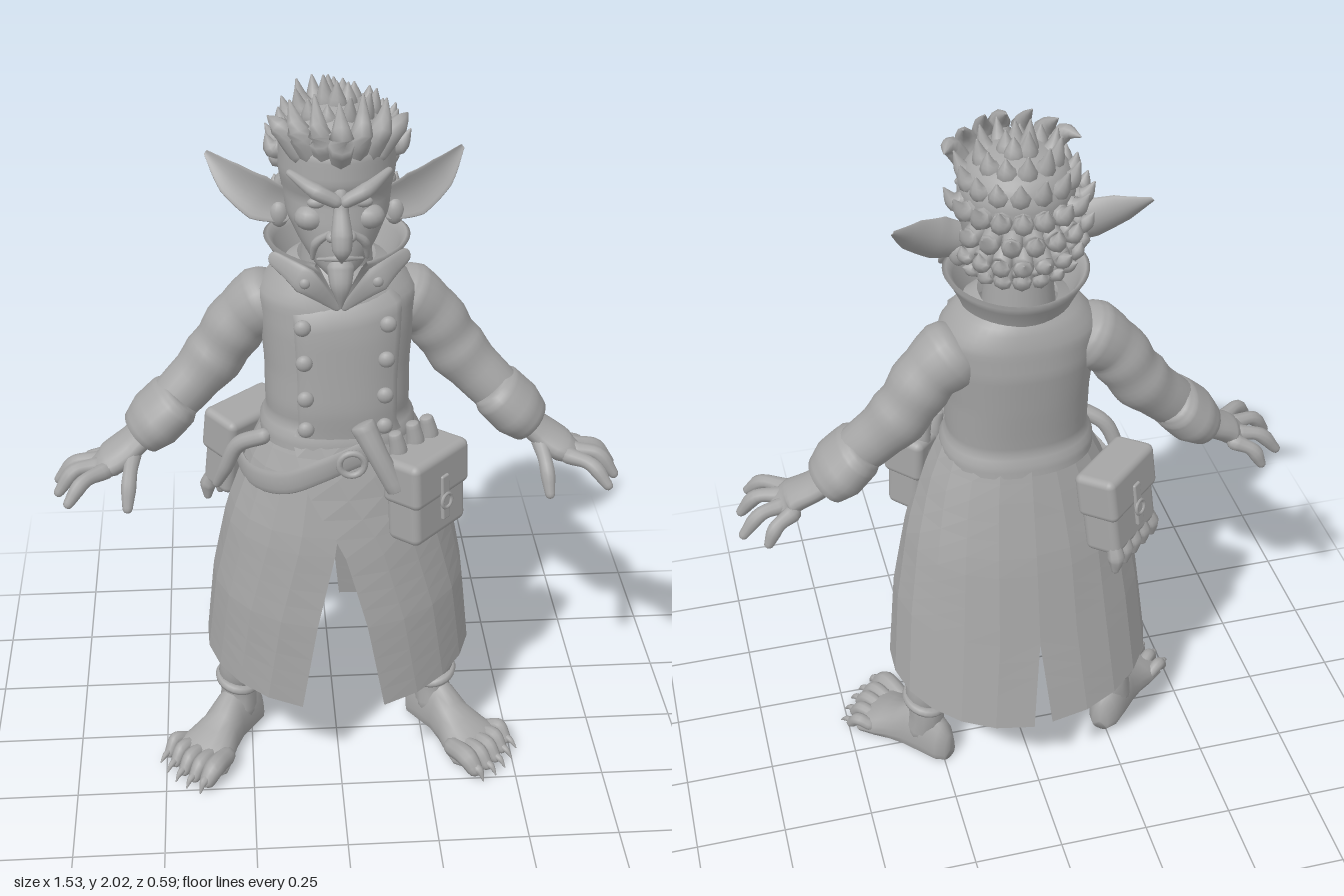
import * as THREE from 'three';
import { RoundedBoxGeometry } from 'three/addons/geometries/RoundedBoxGeometry.js';

const V = (x, y, z) => new THREE.Vector3(x, y, z);
const clay = new THREE.MeshStandardMaterial({ color: 0xa6a6a6, side: THREE.DoubleSide });
clay.name = 'clay grey';

function add(parent, name, geo, pos = [0, 0, 0]) {
  const m = new THREE.Mesh(geo, clay);
  m.name = name;
  m.position.set(...pos);
  parent.add(m);
  return m;
}

// surface through rows x cols points given by f(i, j)
function grid(rows, cols, f, closed = true) {
  const pos = [], idx = [];
  for (let i = 0; i < rows; i++) for (let j = 0; j < cols; j++) pos.push(...f(i, j));
  for (let i = 0; i < rows - 1; i++) for (let j = 0; j < (closed ? cols : cols - 1); j++) {
    const a = i * cols + j, b = i * cols + (j + 1) % cols;
    idx.push(a, b, a + cols, b, b + cols, a + cols);
  }
  const g = new THREE.BufferGeometry();
  g.setAttribute('position', new THREE.Float32BufferAttribute(pos, 3));
  g.setIndex(idx);
  g.computeVertexNormals();
  return g;
}

// linear look-up in rows [key, ...values] with rising keys
function look(table, k) {
  let i = 0;
  while (i < table.length - 2 && k > table[i + 1][0]) i++;
  const a = table[i], b = table[i + 1];
  const t = THREE.MathUtils.clamp((k - a[0]) / (b[0] - a[0]), 0, 1);
  return a.slice(1).map((v, n) => v + (b[n + 1] - v) * t);
}

// point on an oval body with rows [y, halfWidth, frontZ, backZ]; angle 0 = front
function onBody(table, y, a, off = 0, p = 1) {
  const [rx, zf, zb] = look(table, y);
  const pw = v => Math.sign(v) * Math.abs(v) ** p;
  return [pw(Math.sin(a)) * (rx + off), y, (zf + zb) / 2 + pw(Math.cos(a)) * ((zf - zb) / 2 + off)];
}

// limb along a curve with varying radius and rounded ends
function sweep(pts, radii, { n = 12, wide = 1, thin = 1, ref = V(0, 1, 0), curl = 0, dome = 1, per = 5 } = {}) {
  const curve = new THREE.CatmullRomCurve3(pts.map(p => V(...p)));
  const steps = per * (pts.length - 1), rings = [];
  const caps = [0, 0.5, 0.85, 1];
  caps.forEach(s => rings.push([0, s, -dome * Math.sqrt(1 - s * s)]));
  for (let i = 1; i < steps; i++) rings.push([i / steps, 1, 0]);
  caps.slice().reverse().forEach(s => rings.push([1, s, dome * Math.sqrt(1 - s * s)]));
  const table = radii.map((r, i) => [i / (radii.length - 1), r]);
  return grid(rings.length, n, (i, j) => {
    const [t, s, d] = rings[i], [r] = look(table, t);
    const T = curve.getTangent(t), c = curve.getPoint(t);
    const side = ref.clone().cross(T).normalize(), up = T.clone().cross(side);
    const a = j / n * Math.PI * 2, co = Math.cos(a);
    return c.addScaledVector(T, d * r).addScaledVector(side, co * r * s * wide)
      .addScaledVector(up, r * s * (Math.sin(a) * thin + curl * co * co)).toArray();
  });
}
const ball = (rx, ry, rz) => new THREE.SphereGeometry(1, 16, 10).scale(rx, ry, rz);

const TORSO = [[1.06, .205, .19, -.15], [1.1, .205, .185, -.145], [1.12, .188, .172, -.132], [1.17, .19, .178, -.137],
  [1.26, .19, .172, -.148], [1.38, .2, .165, -.16], [1.46, .205, .152, -.155], [1.51, .165, .135, -.14], [1.55, .1, .11, -.11]];
const SKIRT = [[.28, .37, .262, -.292], [.55, .345, .26, -.245], [.8, .3, .24, -.205], [1, .235, .205, -.16], [1.1, .19, .175, -.135]];
const HEAD = [[1.54, .03, .155, .06], [1.57, .068, .165, -.03], [1.62, .1, .165, -.08], [1.68, .13, .16, -.12], [1.74, .138, .15, -.14],
  [1.79, .147, .17, -.15], [1.86, .145, .165, -.15], [1.91, .12, .13, -.13], [1.945, .06, .07, -.07], [1.955, .001, .01, .008]];

function buildCoat(g) {
  add(g, 'coatBody', grid(30, 40, (i, j) => onBody(TORSO, 1.06 + i / 29 * .49, j / 40 * Math.PI * 2, 0, .88)));
  // raised double-breasted front panel
  add(g, 'coatFrontPanel', grid(14, 16, (i, j) => {
    const u = j / 15, y = 1.1 + i / 13 * (.34 + .06 * u);
    return onBody(TORSO, y, -.58 + u * 1.45, (j % 15 && i % 13) ? .012 : -.002, .88);
  }, false));
  for (const y of [1.13, 1.22, 1.32, 1.415]) for (const a of [-.4, .53])
    add(g, 'coatButton', ball(.022, .022, .016), onBody(TORSO, y, a, .018, .88));
  // skirt halves: the left one laps over the right, both open at front and back
  const edges = { 1: [[.28, .105], [.55, .06], [.8, 0], [.95, -.08], [1.1, -.12]], '-1': [[.28, .1], [.55, .06], [.8, .01], [1.1, 0]] };
  for (const s of [1, -1]) {
    const geo = grid(16, 11, (i, j) => {
      const t = i / 15, y = 1.1 - t * .82, [rx] = look(SKIRT, y);
      const a0 = Math.asin(look(edges[s], y)[0] / rx);
      const a1 = Math.PI - Math.asin(look([[.28, .022], [.55, 0], [1.1, 0]], y)[0] / rx);
      const a = a0 + (a1 - a0) * j / 10;
      const p = onBody(SKIRT, y, a, s > 0 ? .007 : 0, .93);
      return [p[0] * s, y + t * .075 * Math.sin(a) ** 2, p[2]];
    }, false).toNonIndexed();
    geo.computeVertexNormals();
    add(g, 'coatSkirt', geo);
  }
  // standing collar, open at the throat: outer wall, rolled rim, inner wall
  const wall = [[1.48, .135, .02], [1.53, .145, .16], [1.585, .172, .3], [1.608, .186, .36], [1.612, .176, .36], [1.59, .16, .32], [1.5, .125, .1]];
  add(g, 'collar', grid(wall.length, 40, (i, j) => {
    const [y, r, gap] = wall[i], a = gap + (2 * Math.PI - 2 * gap) * j / 39;
    return [Math.sin(a) * r, y - .015 * Math.cos(a) ** 2, .015 + Math.cos(a) * r * .99];
  }, false));
  for (const s of [1, -1]) {
    add(g, 'collarLapel', sweep([[s * .16, 1.59, .13], [s * .09, 1.555, .185], [s * .01, 1.47, .165]], [.02, .035, .01], { ref: V(0, 0, 1), thin: .25 }));
    add(g, 'collarButton', ball(.014, .014, .01), [s * .09, 1.55, .19]);
  }
}

function buildArm(g, s) {
  const P = a => a.map(([x, y, z]) => [x * s, y, z]);
  add(g, 'sleeve', sweep(P([[.16, 1.42, -.03], [.24, 1.36, -.035], [.325, 1.24, -.035], [.45, 1.11, -.005]]),
    [.085, .094, .088, .08, .084, .077, .082, .072, .07, .066], { n: 20, dome: .35, per: 9 }));
  add(g, 'cuff', sweep(P([[.415, 1.145, -.01], [.45, 1.11, -.005], [.52, 1.04, 0]]), [.06, .072, .074, .076, .062],
    { n: 24, wide: 1.38, dome: .08, per: 6 }));
  add(g, 'cuffButton', ball(.018, .018, .018), [s * .515, 1.11, .035]);
  add(g, 'palm', sweep(P([[.49, 1.065, 0], [.55, 1.015, .015], [.61, .975, .035], [.645, .955, .035]]), [.034, .035, .038, .026], { wide: 1.75, n: 16 }));
  const fingers = [[[.62, .96, -.02], [.665, .94, -.04], [.69, .895, -.048]], [[.64, .965, .015], [.7, .955, .005], [.75, .9, 0]],
    [[.64, .97, .055], [.7, .965, .07], [.745, .91, .085]], [[.62, .97, .085], [.675, .965, .13], [.715, .92, .162]],
    [[.545, 1, .05], [.555, .96, .115], [.562, .895, .155]]];
  fingers.forEach((f, i) => add(g, i < 4 ? 'finger' : 'thumb', sweep(P(f), [.024, .019, .021, .014], { n: 10 })));
}

function buildLeg(g, s) {
  const P = a => a.map(([x, y, z]) => [x * s, y, z]);
  add(g, 'trouserLeg', sweep(P([[.08, .82, -.01], [.15, .56, 0], [.235, .34, -.01], [.285, .2, -.02]]),
    [.11, .105, .1, .092, .084, .076, .06], { n: 18, ref: V(0, 0, 1), dome: .3 }));
  const hem = new THREE.TorusGeometry(.054, .014, 8, 24).rotateX(Math.PI / 2).scale(1, 1, 1.2);
  add(g, 'trouserHem', hem, [s * .285, .192, -.02]).rotation.z = s * .2;
  const foot = new THREE.Group();
  foot.name = 'foot';
  foot.position.set(s * .285, 0, -.03);
  foot.rotation.y = s * .68;
  g.add(foot);
  add(foot, 'ankle', sweep([[0, .21, .005], [0, .14, 0], [0, .08, .01]], [.05, .052, .055], { ref: V(0, 0, 1) }));
  // foot cross-sections: z, half width, height, sideways shift
  const S = [[-.085, .001, .06, 0], [-.083, .025, .09, 0], [-.06, .045, .125, 0], [-.01, .053, .17, 0], [.05, .056, .155, 0],
    [.1, .066, .115, -.004], [.15, .085, .088, -.008], [.2, .1, .066, -.012], [.225, .085, .045, -.014], [.228, .001, .03, -.014]];
  add(foot, 'footBody', grid(S.length, 20, (i, j) => {
    const [z, w, h, c] = S[i], a = j / 20 * Math.PI * 2, sn = Math.sin(a);
    return [s * (c + Math.cos(a) * w), i % 9 ? (sn > 0 ? h * (.28 + .72 * sn) : h * .28 * (1 - Math.abs(sn) ** .5)) : h / 2, z];
  }));
  [[-.095, .285, .028], [-.05, .29, .021], [-.008, .285, .02], [.036, .27, .019], [.078, .248, .018]].forEach(([x, z, r]) => {
    add(foot, 'toe', sweep([[s * x * .85, .038, .17], [s * x, .05, z - .045], [s * x, r, z - .015]], [r, r * 1.05, r * .85], { n: 10 }));
    add(foot, 'claw', sweep([[s * x, r + .008, z - .015], [s * x, r + .004, z + .005], [s * x * 1.02, .006, z + .024]], [r * .55, r * .45, .002], { n: 8 }));
  });
}

function buildHead(g) {
  add(g, 'neck', new THREE.CylinderGeometry(.085, .1, .16, 20), [0, 1.54, -.01]);
  add(g, 'head', grid(32, 36, (i, j) => onBody(HEAD, 1.54 + i / 31 * .415, j / 36 * Math.PI * 2)));
  add(g, 'nose', sweep([[0, 1.775, .155], [0, 1.73, .172], [0, 1.68, .2], [0, 1.645, .21], [0, 1.61, .2]], [.018, .019, .027, .024, .004], { ref: V(0, 0, 1) }));
  add(g, 'goatee', sweep([[0, 1.575, .15], [0, 1.53, .17], [0, 1.47, .168]], [.035, .027, .003], { ref: V(0, 0, 1), thin: .8 }));
  add(g, 'lowerLip', sweep([[-.055, 1.592, .14], [0, 1.606, .172], [.055, 1.592, .14]], [.004, .009, .004], { n: 8 }));
  for (const s of [1, -1]) {
    add(g, 'brow', sweep([[s * .012, 1.757, .172], [s * .06, 1.782, .168], [s * .12, 1.81, .115]], [.017, .02, .01], { n: 10 }));
    add(g, 'eye', ball(.024, .014, .014), [s * .057, 1.74, .135]);
    add(g, 'cheek', ball(.04, .032, .035), [s * .072, 1.695, .118]);
    add(g, 'nostril', ball(.015, .014, .018), [s * .023, 1.667, .178]);
    add(g, 'smileLine', sweep([[s * .028, 1.67, .165], [s * .06, 1.64, .15], [s * .068, 1.595, .135]], [.008, .012, .006], { n: 8 }));
    add(g, 'ear', sweep([[s * .12, 1.69, .02], [s * .19, 1.71, .005], [s * .26, 1.748, -.025], [s * .322, 1.797, -.07]],
      [.045, .06, .043, .007], { n: 20, ref: V(0, 0, 1), thin: .2, curl: .4, dome: .4 }));
    add(g, 'earLobe', ball(.025, .035, .022), [s * .145, 1.665, .02]);
  }
}

function buildHair(g) {
  const lock = (b, m, t, r) => add(g, 'hairLock', sweep([b, m, t], [r, r * .95, .003], { n: 8, per: 4 }));
  // swept-up forelocks
  [[0, 1.98, .032], [.045, 1.995, .03], [.09, 1.975, .03], [.13, 1.93, .026]].forEach(([x, top, r]) => {
    for (const s of x ? [1, -1] : [1])
      lock([s * x * .75, 1.855, .14 - x * .3], [s * x * 1.1, 1.92, .185 - x * .7], [s * x * 1.3, top, .11 - x * .5], r);
  });
  // rows of tufts over crown, sides and nape
  [[80, 5], [58, 11], [38, 15], [18, 18], [0, 18], [-20, 18], [-38, 17]].forEach(([deg, count], row) => {
    for (let k = 0; k < count; k++) {
      const az = (k + (row % 2) * .5) / count * Math.PI * 2, back = Math.abs(Math.PI - az);
      if (back > (deg > 50 ? 9 : deg > 30 ? 2.3 : deg > 10 ? 1.75 : 1.35)) continue;
      const e = deg * Math.PI / 180;
      const d = V(Math.cos(e) * Math.sin(az), Math.sin(e), Math.cos(e) * Math.cos(az));
      const at = (r, up) => [d.x * .148 * r, 1.785 + d.y * .165 * r + up, -.01 + d.z * .145 * r];
      const len = 1.2 + .08 * Math.sin(k * 5.3 + row * 2.1);
      lock(at(.85, 0), at(1.12, -.014), at(len + .05, .016), .027);
    }
  });
}

function buildBag(g, name, pos, yaw, tilt) {
  const b = new THREE.Group();
  b.name = name;
  b.position.set(...pos);
  b.rotation.set(tilt, yaw, 0, 'YXZ');
  g.add(b);
  add(b, 'bagBody', new RoundedBoxGeometry(.215, .235, .105, 3, .022));
  add(b, 'bagFlap', new RoundedBoxGeometry(.228, .13, .122, 3, .02), [0, .062, .002]);
  add(b, 'bagStrap', new RoundedBoxGeometry(.03, .13, .012, 2, .005), [0, 0, .064]);
  add(b, 'bagBuckle', new THREE.TorusGeometry(.02, .005, 6, 16), [0, -.01, .07]);
  return b;
}

export function createModel() {
  const g = new THREE.Group();
  g.name = 'coatedGoblin';
  buildCoat(g);
  for (const s of [1, -1]) { buildArm(g, s); buildLeg(g, s); }
  add(g, 'hips', ball(.17, .13, .12), [0, .84, -.01]);
  buildHead(g);
  buildHair(g);

  // slung belt with a rounded end and buckle
  add(g, 'belt', sweep([[.05, 1.07, .212], [-.05, 1.035, .228], [-.15, .985, .2], [-.235, .955, .1], [-.27, .95, -.05]],
    [.034, .033, .033, .033], { wide: .25, n: 12 }));
  add(g, 'beltBuckle', new THREE.TorusGeometry(.033, .009, 8, 20), [.025, 1.055, .235]);
  add(g, 'sideStrap', sweep([[-.2, 1.07, .1], [-.265, 1.03, .07], [-.3, .95, .05], [-.325, .89, .03]], [.022, .022, .02, .014], { ref: V(0, 0, 1) }));

  // tools tucked at the waist
  add(g, 'toolHandle', sweep([[.055, 1.15, .2], [.09, 1.08, .225], [.14, .98, .24]], [.034, .028, .026], { dome: .2, ref: V(0, 0, 1) }));
  [[.15, .18], [.2, .13], [.24, .1]].forEach(([x, z]) =>
    add(g, 'vial', sweep([[x, 1, z], [x, 1.06, z], [x - .01, 1.11, z]], [.024, .024, .018], { dome: .3, ref: V(0, 0, 1) })));

  buildBag(g, 'frontBag', [.225, .935, .175], .8, -.06);
  const rear = buildBag(g, 'rearBag', [-.245, .925, -.13], -2.4, -.14);
  for (let i = 0; i < 5; i++) {
    const x = (i - 2) * .043;
    add(rear, 'bagTassel', sweep([[x, -.09, .03], [x * 1.08, -.13, .038], [x * 1.12, -.165, .034]], [.02, .024, .012], { n: 8, ref: V(0, 0, 1) }));
  }
  return g;
}
